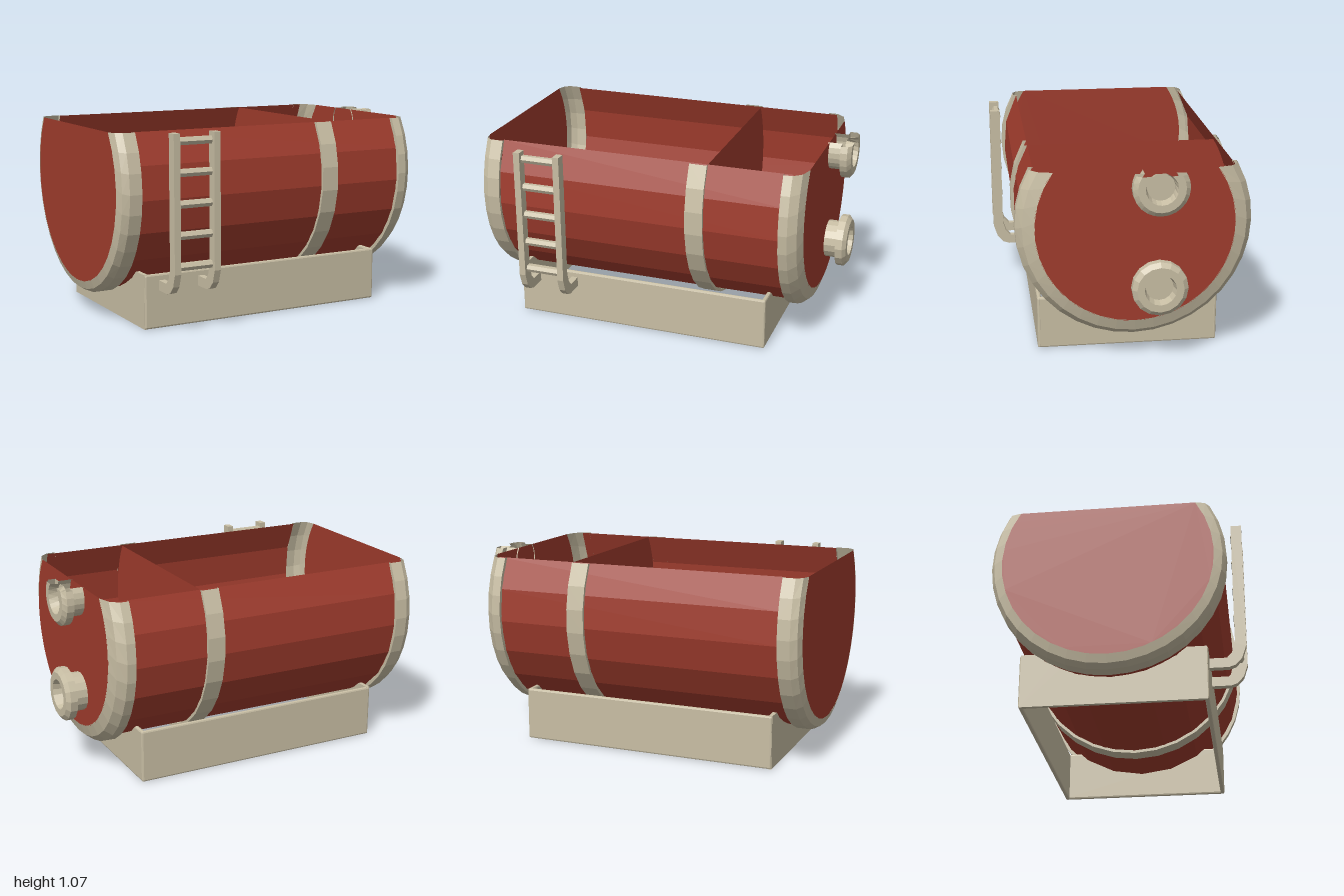
import * as THREE from 'three';
import { RoundedBoxGeometry } from 'three/addons/geometries/RoundedBoxGeometry.js';

const TOP = 1.07;               // height at which everything is cut open
const TANK = { y: 0.76, z: -0.04 };

export function createModel() {
  const model = new THREE.Group();
  const red = new THREE.MeshStandardMaterial({ color: 0xa03c2d, flatShading: true, side: THREE.DoubleSide });
  red.name = 'tank red';
  const beige = new THREE.MeshStandardMaterial({ color: 0xc8bea4, flatShading: true, side: THREE.DoubleSide });
  beige.name = 'trim beige';

  function add(name, geometry, material, x = 0, y = 0, z = 0, parent = model) {
    const mesh = new THREE.Mesh(geometry, material);
    mesh.name = name;
    mesh.position.set(x, y, z);
    parent.add(mesh);
    return mesh;
  }

  // Start and end angle of a circle that is cut off at a height above its centre
  function arc(r, cut) {
    const a = r > cut ? Math.asin(cut / r) : Math.PI / 2;
    return [Math.PI - a, 2 * Math.PI + a];
  }

  // Shell around the x axis through [x, radius] stations, cut off at a height
  function shell(stations, sides, cut) {
    const positions = [];
    const point = ([x, r], i) => {
      const [a, b] = arc(r, cut);
      const t = a + (b - a) * i / sides;
      return [x, r * Math.sin(t), -r * Math.cos(t)];
    };
    for (let s = 0; s < stations.length - 1; s++) {
      for (let i = 0; i < sides; i++) {
        const a = point(stations[s], i), b = point(stations[s], i + 1);
        const c = point(stations[s + 1], i), d = point(stations[s + 1], i + 1);
        positions.push(...a, ...b, ...d, ...a, ...d, ...c);
      }
    }
    const g = new THREE.BufferGeometry();
    g.setAttribute('position', new THREE.Float32BufferAttribute(positions, 3));
    g.computeVertexNormals();
    return g;
  }

  // Flat disc facing +x, cut off at a height
  function disc(r, cut, sides = 40) {
    const shape = new THREE.Shape();
    const [a, b] = arc(r, cut);
    shape.absarc(0, 0, r, a, b, false);
    return new THREE.ShapeGeometry(shape, sides).rotateY(Math.PI / 2);
  }

  // Tank: body, end rims, band and upright walls
  const tank = new THREE.Group();
  tank.name = 'tank';
  tank.position.set(0, TANK.y, TANK.z);
  model.add(tank);
  const cut = TOP - TANK.y;
  const tankPart = (name, geometry, material, x = 0) => add(name, geometry, material, x, 0, 0, tank);
  tankPart('tankBody', shell([[-0.88, 0.613], [0.8, 0.613]], 14, cut), red);
  tankPart('plainEndRim', shell([[-0.88, 0.61], [-0.88, 0.63], [-0.95, 0.63], [-0.985, 0.61], [-1, 0.565]], 24, cut), beige);
  tankPart('portEndRim', shell([[0.75, 0.61], [0.75, 0.632], [0.8, 0.63], [0.845, 0.595], [0.867, 0.53]], 24, cut), beige);
  tankPart('middleBand', shell([[0.23, 0.613], [0.23, 0.63], [0.33, 0.63], [0.33, 0.613]], 20, cut), beige);
  tankPart('plainEndWall', disc(0.566, cut), red, -0.998);
  tankPart('partition', disc(0.6, cut), red, 0.33);
  tankPart('portEndWall', disc(0.532, cut), red, 0.866);

  // Two flanged ports, the upper one cut off with the tank
  for (const [name, y] of [['lowerPort', 0.45], ['upperPort', 1.0]]) {
    const port = new THREE.Group();
    port.name = name;
    port.position.set(0, y, -0.155);
    model.add(port);
    const portCut = TOP - y;
    const profile = [[0.86, 0.108], [0.94, 0.108], [0.94, 0.15], [0.98, 0.15], [1, 0.125], [1, 0.085], [0.95, 0.074]];
    add('flange', shell(profile, 16, portCut), beige, 0, 0, 0, port);
    add('portCover', disc(0.075, portCut, 12), beige, 0.95, 0, 0, port);
  }

  // Base frame: two long walls and two end walls, open above and below
  const base = new THREE.Group();
  base.name = 'baseFrame';
  model.add(base);
  for (const [name, z] of [['frontWall', 0.46], ['backWall', -0.515]]) {
    add(name, new RoundedBoxGeometry(1.485, 0.3, 0.024, 1, 0.01), beige, -0.077, 0.15, z, base);
  }
  add('portEndBaseWall', new RoundedBoxGeometry(0.024, 0.3, 0.99, 1, 0.01), beige, 0.653, 0.15, -0.0275, base);
  // The other end wall is hollowed to cradle the tank
  const cradle = new THREE.Shape();
  cradle.moveTo(-0.52, 0);
  cradle.lineTo(0.465, 0);
  cradle.lineTo(0.465, 0.3);
  const reach = Math.acos((TANK.y - 0.3) / 0.61);
  for (let i = 0; i <= 16; i++) {
    const t = reach * (1 - i / 8);
    cradle.lineTo(TANK.z + 0.61 * Math.sin(t), TANK.y - 0.61 * Math.cos(t));
  }
  cradle.lineTo(-0.52, 0.3);
  cradle.closePath();
  const cradleGeometry = new THREE.ExtrudeGeometry(cradle, { depth: 0.022, bevelEnabled: false });
  add('cradleBaseWall', cradleGeometry.rotateY(-Math.PI / 2), beige, -0.798, 0, 0, base);

  // Ladder: two bent rails fixed to the base, with five rungs
  const ladder = new THREE.Group();
  ladder.name = 'ladder';
  model.add(ladder);
  const railShape = new THREE.Shape([
    [0.435, 0.21], [0.575, 0.21], [0.61, 0.222], [0.645, 0.26], [0.668, 0.33], [0.668, TOP],
    [0.61, TOP], [0.61, 0.35], [0.592, 0.295], [0.565, 0.265], [0.435, 0.265],
  ].map(([z, y]) => new THREE.Vector2(z, y)));
  for (const x of [-0.7, -0.465]) {
    const rail = new THREE.ExtrudeGeometry(railShape, { depth: 0.037, bevelEnabled: false });
    add('ladderRail', rail.rotateY(-Math.PI / 2), beige, x, 0, 0, ladder);
  }
  for (let i = 0; i < 5; i++) {
    const rung = new THREE.CylinderGeometry(0.023, 0.023, 0.21, 6).rotateZ(Math.PI / 2);
    add('ladderRung', rung, beige, -0.6, 0.362 + i * 0.166, 0.628, ladder);
  }
  return model;
}
